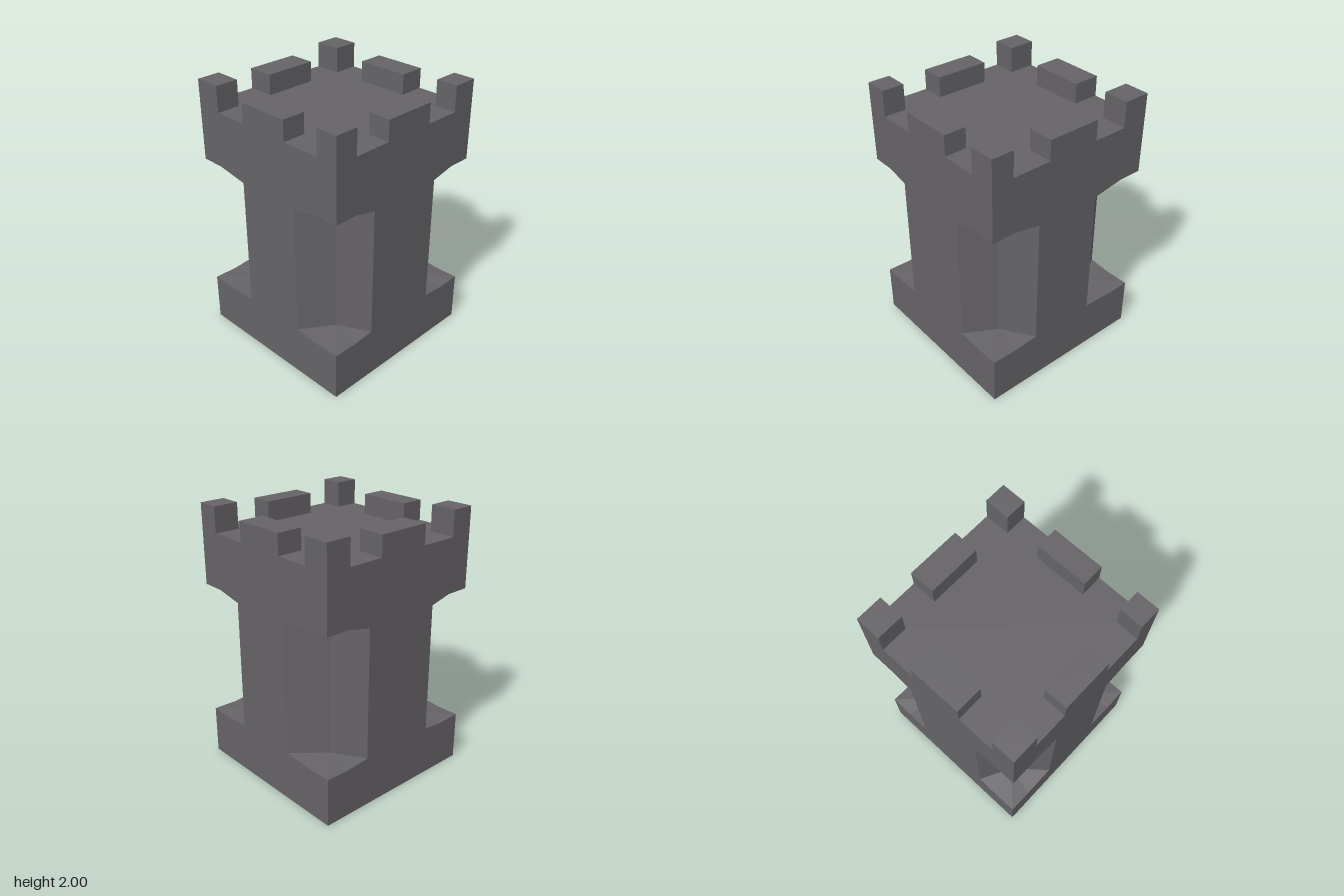
import * as THREE from 'three';

const H = 0.66;              // half width of the tower
const ROOF = 1.81;           // height of the roof deck
const CREASE = 0.43;         // inner crease of each corner recess
const MID = 0.48;            // where the recess edge bends
const EDGE = { left: 0.31, right: 0.295, front: 0.275, back: 0.235 };
const FLOOR = { wall: 0.38, mid: 0.365, corner: 0.37 };
const CEIL = { wall: 1.36, mid: 1.4, corner: 1.4 };

export function createModel() {
  const tower = new THREE.Group();
  tower.name = 'tower';
  const stone = new THREE.MeshStandardMaterial({ color: 0x656366 });
  stone.name = 'darkStone';

  const add = (geometry, name) => {
    const mesh = new THREE.Mesh(geometry, stone);
    mesh.name = name;
    tower.add(mesh);
    return mesh;
  };

  // Flat side walls: wide base, narrow shaft, wide crown
  const wall = (name, angle, a, b) => {
    const outline = [
      [-H, 0], [H, 0], [H, FLOOR.corner], [MID, FLOOR.mid], [b, FLOOR.wall],
      [b, CEIL.wall], [MID, CEIL.mid], [H, CEIL.corner], [H, ROOF],
      [-H, ROOF], [-H, CEIL.corner], [-MID, CEIL.mid], [-a, CEIL.wall],
      [-a, FLOOR.wall], [-MID, FLOOR.mid], [-H, FLOOR.corner],
    ].map(([x, y]) => new THREE.Vector2(x, y));
    const geometry = new THREE.ShapeGeometry(new THREE.Shape(outline));
    geometry.translate(0, 0, H).rotateY(angle);
    add(geometry, name);
  };
  wall('frontWall', 0, EDGE.left, EDGE.right);
  wall('rightWall', Math.PI / 2, EDGE.front, EDGE.back);
  wall('backWall', Math.PI, EDGE.right, EDGE.left);
  wall('leftWall', -Math.PI / 2, EDGE.back, EDGE.front);

  // Recess at each corner: two upright faces, sloping floor and ceiling
  const recess = (sx, sz) => {
    const ex = sx > 0 ? EDGE.right : EDGE.left;
    const ez = sz > 0 ? EDGE.front : EDGE.back;
    const rim = (h) => [
      [ex, h.wall, H], [MID, h.mid, H], [H, h.corner, H], [H, h.mid, MID], [H, h.wall, ez],
    ];
    const low = rim(FLOOR), high = rim(CEIL);
    const lowK = [CREASE, FLOOR.wall, CREASE], highK = [CREASE, CEIL.wall, CREASE];
    const points = [];
    const tri = (p, q, r) => {
      const order = sx * sz > 0 ? [p, q, r] : [p, r, q];
      order.forEach(([x, y, z]) => points.push(x * sx, y, z * sz));
    };
    for (let i = 0; i < 4; i++) {
      tri(lowK, low[i], low[i + 1]);
      tri(highK, high[i + 1], high[i]);
    }
    tri(low[0], lowK, highK);
    tri(low[0], highK, high[0]);
    tri(lowK, low[4], high[4]);
    tri(lowK, high[4], highK);
    const geometry = new THREE.BufferGeometry();
    geometry.setAttribute('position', new THREE.Float32BufferAttribute(points, 3));
    geometry.computeVertexNormals();
    add(geometry, 'cornerRecess');
  };
  for (const sx of [-1, 1]) for (const sz of [-1, 1]) recess(sx, sz);

  // Roof deck and underside
  const deck = new THREE.PlaneGeometry(2 * H, 2 * H);
  add(deck.clone().rotateX(-Math.PI / 2).translate(0, ROOF, 0), 'roofDeck');
  add(deck.clone().rotateX(Math.PI / 2), 'underside');

  // Battlements: tall corner blocks and lower middle blocks
  const block = (name, x0, x1, z0, z1, top) => {
    const geometry = new THREE.BoxGeometry(x1 - x0, top - ROOF, z1 - z0);
    add(geometry, name).position.set((x0 + x1) / 2, (top + ROOF) / 2, (z0 + z1) / 2);
  };
  const xSpans = [[-H, -0.485], [-0.2, 0.2], [0.47, H]];
  const zSpans = [[-H, -0.46], [-0.2, 0.2], [0.495, H]];
  xSpans.forEach(([x0, x1], i) => zSpans.forEach(([z0, z1], j) => {
    if (i === 1 && j === 1) return;
    const middle = i === 1 || j === 1;
    block(middle ? 'middleBattlement' : 'cornerBattlement', x0, x1, z0, z1, middle ? 1.96 : 2);
  }));

  return tower;
}
